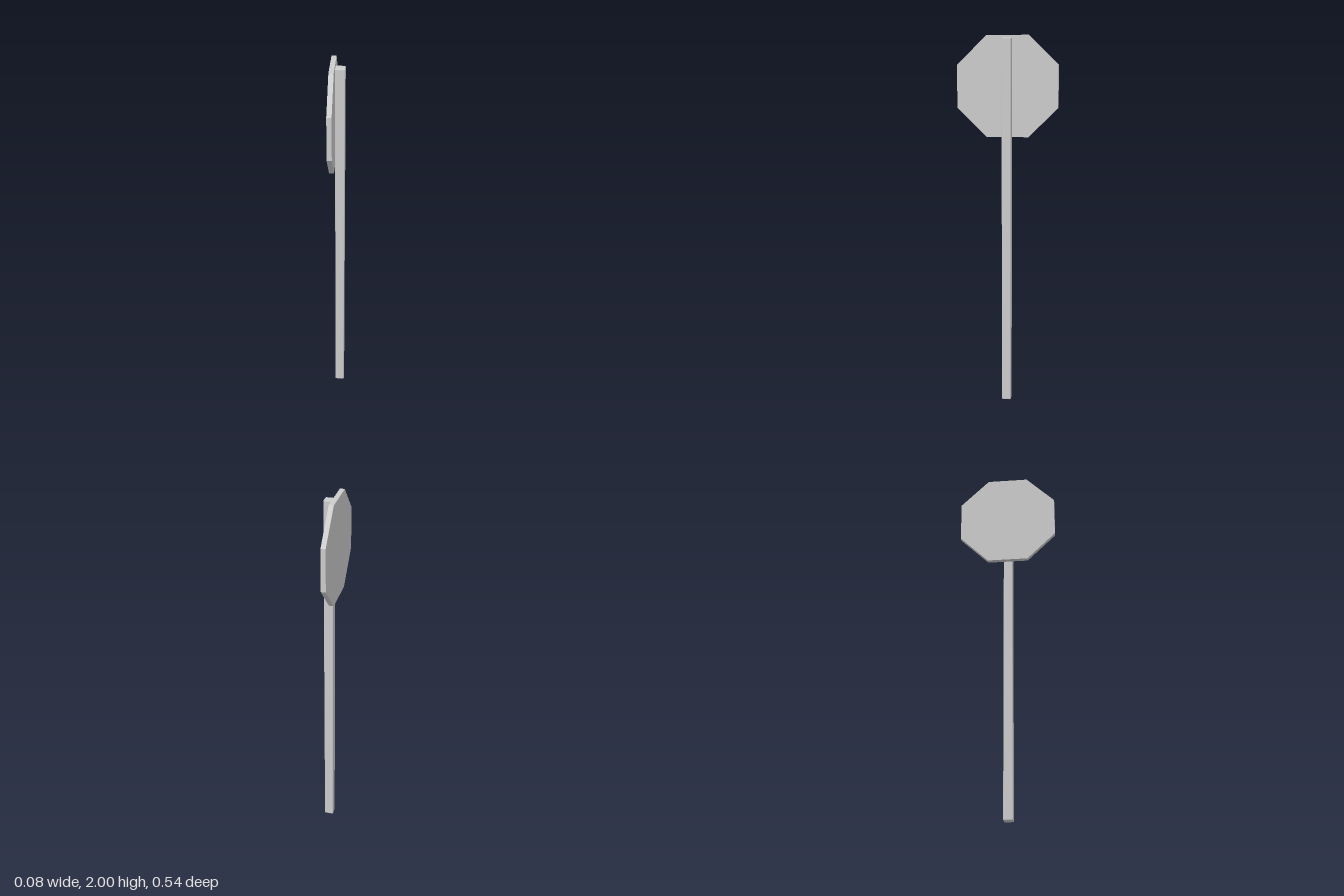
import * as THREE from 'three';
import { RoundedBoxGeometry } from 'three/addons/geometries/RoundedBoxGeometry.js';

const POLE = { size: 0.05, height: 1.985, x: 0.0125 };
const SIGN = { halfWidth: 0.27, halfHeight: 0.267, flat: 0.112, thickness: 0.025, y: 1.733 };

export function createModel() {
  const group = new THREE.Group();
  group.name = 'roadSign';
  const material = new THREE.MeshStandardMaterial({ color: 0xcccccc });

  // Square pole with slightly rounded edges
  const pole = new THREE.Mesh(
    new RoundedBoxGeometry(POLE.size, POLE.height, POLE.size, 2, 0.005), material);
  pole.name = 'pole';
  pole.position.set(POLE.x, POLE.height / 2, 0);
  group.add(pole);

  // Octagonal plate, extruded and turned to face sideways
  const { halfWidth: w, halfHeight: h, flat: f } = SIGN;
  const outline = new THREE.Shape([
    [w, -f], [w, f], [f, h], [-f, h], [-w, f], [-w, -f], [-f, -h], [f, -h],
  ].map(([x, y]) => new THREE.Vector2(x, y)));
  const plateGeometry = new THREE.ExtrudeGeometry(outline, {
    depth: SIGN.thickness, bevelEnabled: false,
  });
  plateGeometry.rotateY(-Math.PI / 2);
  const plate = new THREE.Mesh(plateGeometry, material);
  plate.name = 'signPlate';
  plate.position.set(POLE.x - POLE.size / 2, SIGN.y, 0);
  group.add(plate);

  return group;
}
